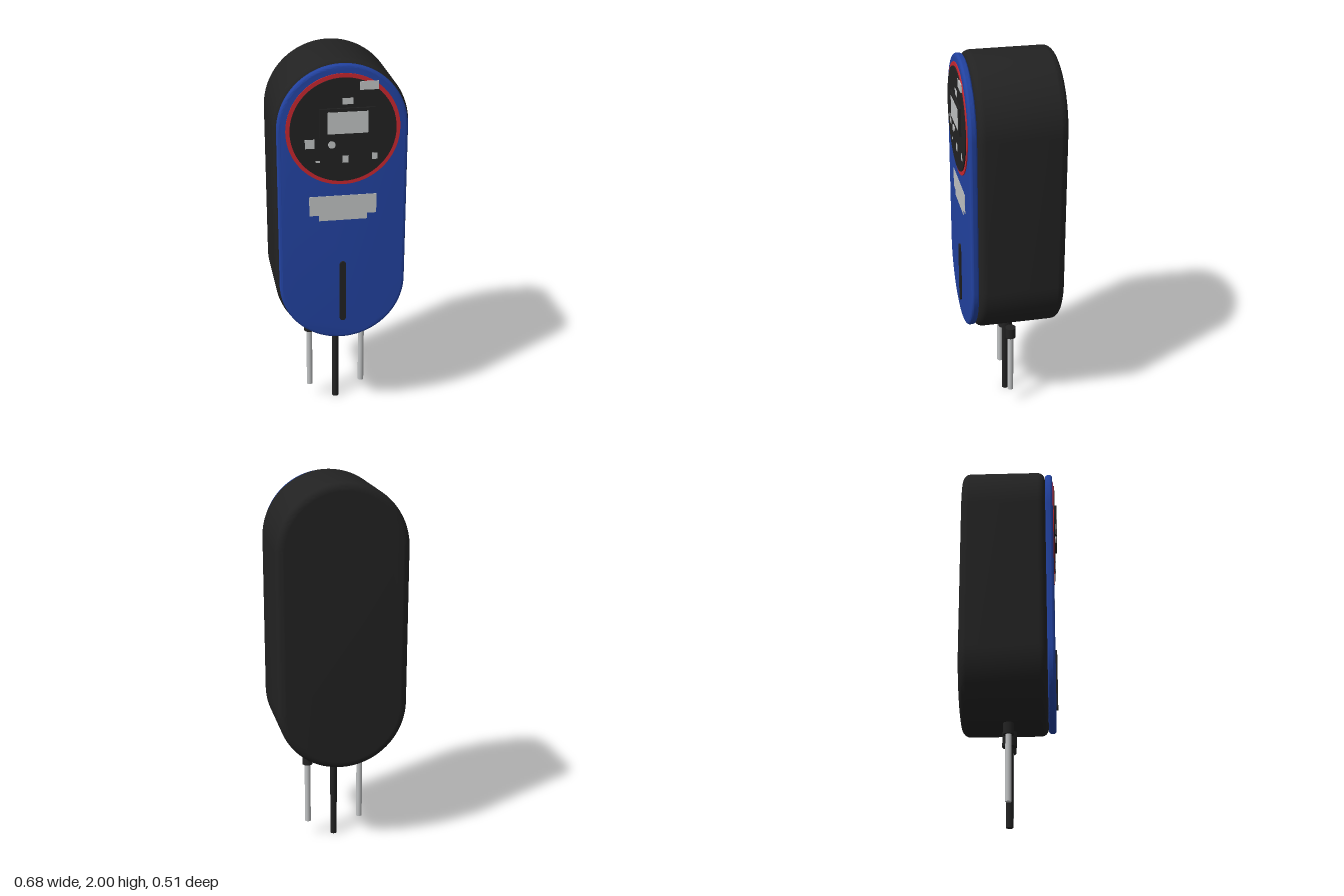
import * as THREE from 'three';
import { toCreasedNormals } from 'three/addons/utils/BufferGeometryUtils.js';

const material = (name, color) => {
  const m = new THREE.MeshStandardMaterial({ color });
  m.name = name;
  return m;
};

export function createModel() {
  const black = material('black plastic', 0x222222);
  const blue = material('blue plastic', 0x2242a0);
  const red = material('red trim', 0xc8272f);
  const silver = material('light grey', 0xc0c2c3);
  const model = new THREE.Group();
  model.name = 'wallUnit';

  const add = (name, geometry, mat, x = 0, y = 0, z = 0) => {
    const mesh = new THREE.Mesh(geometry, mat);
    mesh.name = name;
    mesh.position.set(x, y, z);
    model.add(mesh);
    return mesh;
  };

  // Upright stadium outline extruded from z0 to z1 with rounded edges
  const stadium = (name, mat, r, y0, y1, z0, z1, bevel) => {
    const shape = new THREE.Shape();
    shape.absarc(0, y1 - r, r, 0, Math.PI);
    shape.absarc(0, y0 + r, r, Math.PI, 2 * Math.PI);
    shape.closePath();
    const geo = new THREE.ExtrudeGeometry(shape, {
      depth: z1 - z0 - 2 * bevel, curveSegments: 40, bevelEnabled: bevel > 0,
      bevelThickness: bevel, bevelSize: bevel, bevelOffset: -bevel, bevelSegments: 6,
    });
    return add(name, toCreasedNormals(geo, 0.6), mat, 0, 0, z0 + bevel);
  };

  // Plate given by its edges
  const plate = (name, mat, x0, x1, y0, y1, z0, z1) =>
    add(name, new THREE.BoxGeometry(x1 - x0, y1 - y0, z1 - z0), mat,
      (x0 + x1) / 2, (y0 + y1) / 2, (z0 + z1) / 2);

  // Round disc facing forward
  const disc = (name, mat, r, x, y, z0, z1) => {
    add(name, new THREE.CylinderGeometry(r, r, z1 - z0, 64), mat, x, y, (z0 + z1) / 2)
      .rotation.x = Math.PI / 2;
  };

  // Vertical rod
  const rod = (name, mat, r, x, y0, y1) =>
    add(name, new THREE.CylinderGeometry(r, r, y1 - y0, 24), mat, x, (y0 + y1) / 2, -0.01);

  // Housing and front cover
  stadium('housing', black, 0.34, 0.495, 2, -0.257, 0.19, 0.04);
  stadium('frontCover', blue, 0.325, 0.508, 1.988, 0.19, 0.23, 0.015);
  stadium('frontSlot', black, 0.016, 0.615, 0.955, 0.228, 0.24, 0);

  // Round control panel with its trim ring and display
  disc('panelTrim', red, 0.283, 0, 1.664, 0.225, 0.235);
  disc('controlPanel', black, 0.263, 0, 1.664, 0.23, 0.24);
  plate('displayFrame', black, -0.117, 0.155, 1.63, 1.777, 0.238, 0.25);
  plate('display', silver, -0.08, 0.12, 1.65, 1.76, 0.248, 0.2515);
  disc('button', silver, 0.018, -0.058, 1.593, 0.238, 0.247);

  // Panel markings: x0, x1, y0, y1
  [
    [0.08, 0.172, 1.863, 1.905],
    [-0.005, 0.048, 1.795, 1.826],
    [-0.19, -0.143, 1.578, 1.624],
    [-0.137, -0.116, 1.503, 1.513],
    [-0.005, 0.026, 1.497, 1.534],
    [0.143, 0.17, 1.508, 1.54],
  ].forEach((m) => plate('panelMark', silver, ...m, 0.236, 0.242));

  // Stepped name plate on the cover
  plate('namePlateTop', silver, -0.17, 0.17, 1.217, 1.32, 0.228, 0.232);
  plate('namePlateBottom', silver, -0.122, 0.122, 1.187, 1.217, 0.228, 0.232);

  // Central cable and the two side pipes
  rod('cableGland', black, 0.038, 0, 0.418, 0.51);
  rod('cable', black, 0.018, 0, 0, 0.42);
  for (const x of [-0.145, 0.145]) {
    rod('pipeCap', black, 0.028, x, 0.433, 0.492);
    rod('pipe', silver, 0.016, x, 0.09, 0.435);
  }
  return model;
}
